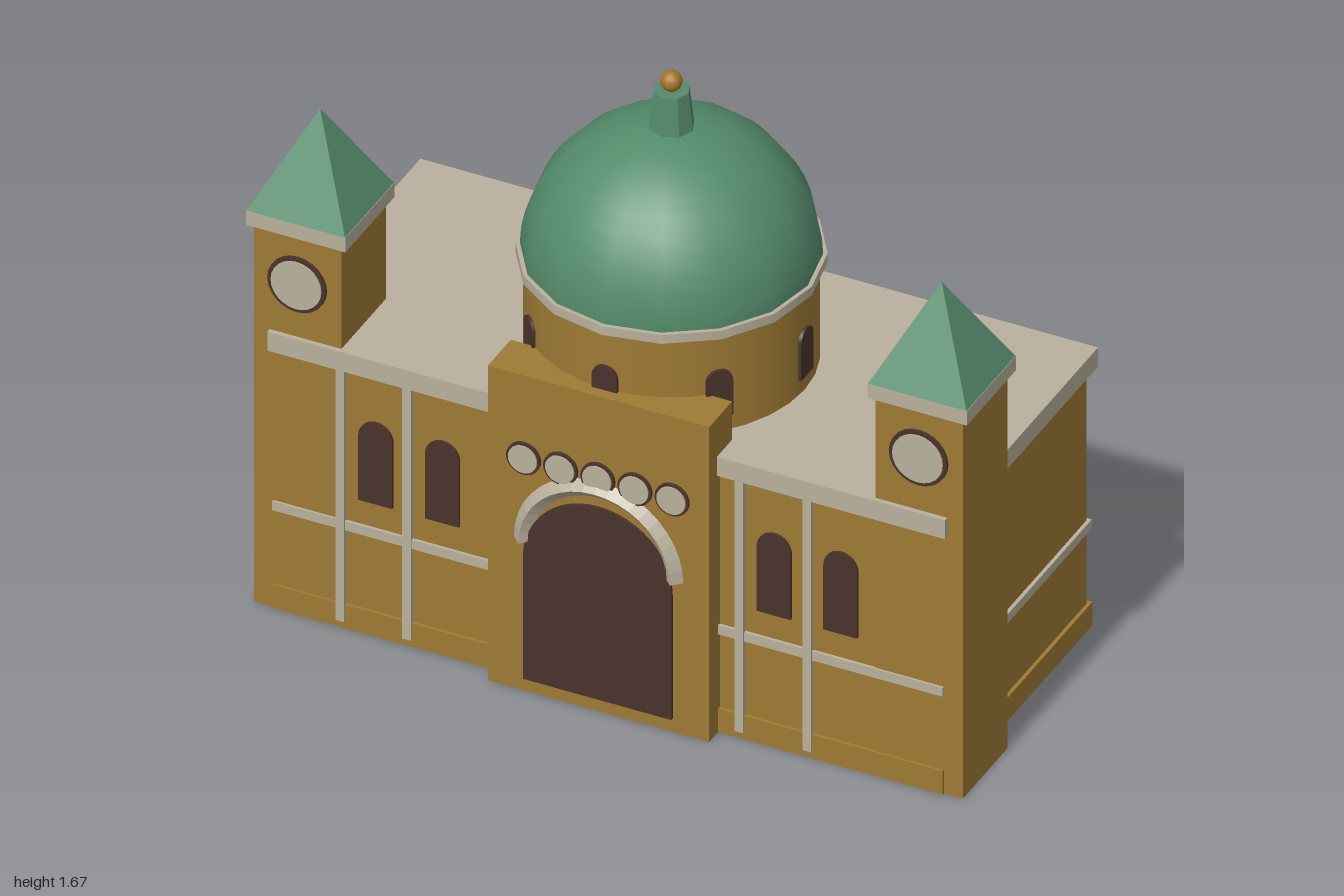
import * as THREE from 'three';

export function createModel() {
  const model = new THREE.Group();
  const mat = (name, color) => {
    const m = new THREE.MeshStandardMaterial({ color });
    m.name = name;
    return m;
  };
  const ochre = mat('ochre wall', 0x9e7a34);
  const stone = mat('pale stone', 0xb9b09d);
  const green = mat('green copper', 0x548b6b);
  const dark = mat('dark brown', 0x4a332c);
  const gold = mat('gold', 0xa87428);

  const add = (name, geometry, material, x = 0, y = 0, z = 0, parent = model) => {
    const mesh = new THREE.Mesh(geometry, material);
    mesh.name = name;
    mesh.position.set(x, y, z);
    parent.add(mesh);
    return mesh;
  };
  // Box given by its limits on each axis
  const box = (name, material, x0, x1, y0, y1, z0, z1) =>
    add(name, new THREE.BoxGeometry(x1 - x0, y1 - y0, z1 - z0), material,
      (x0 + x1) / 2, (y0 + y1) / 2, (z0 + z1) / 2);
  const faceted = (geometry) => {
    const g = geometry.toNonIndexed();
    g.computeVertexNormals();
    return g;
  };
  // Thin round-headed plate standing on y = 0, facing +z
  const archPlate = (halfWidth, height, depth = 0.008) => {
    const s = new THREE.Shape();
    s.moveTo(-halfWidth, 0);
    s.lineTo(halfWidth, 0);
    s.lineTo(halfWidth, height - halfWidth);
    s.absarc(0, height - halfWidth, halfWidth, 0, Math.PI, false);
    s.closePath();
    return new THREE.ExtrudeGeometry(s, { depth, bevelEnabled: false, curveSegments: 12 });
  };
  // Pale disc with a dark rim, facing +z
  const roundel = (name, x, y, z, rimRadius, faceRadius) => {
    const g = new THREE.Group();
    g.name = name;
    g.position.set(x, y, z);
    const disc = (r, d) => new THREE.CylinderGeometry(r, r, d, 24).rotateX(Math.PI / 2);
    add('rim', disc(rimRadius, 0.008), dark, 0, 0, 0.004, g);
    add('face', disc(faceRadius, 0.004), stone, 0, 0, 0.01, g);
    model.add(g);
  };

  // Main block with plinth, string course and roof slab
  box('mainBlock', ochre, -0.92, 0.92, 0, 0.78, -0.437, 0.379);
  box('plinth', ochre, -0.93, 0.93, 0, 0.07, -0.449, 0.389);
  box('stringCourse', stone, -0.93, 0.93, 0.293, 0.32, -0.445, 0.388);
  box('roofSlab', stone, -0.94, 0.94, 0.773, 0.83, -0.46, 0.395);

  // Front pilaster strips
  for (const x of [-0.74, -0.555, 0.367, 0.555])
    box('pilasterStrip', stone, x - 0.012, x + 0.012, 0.02, 0.775, 0.375, 0.393);

  // Front windows
  const frontWindow = archPlate(0.047, 0.243);
  for (const x of [-0.645, -0.46, 0.46, 0.645])
    add('frontWindow', frontWindow, dark, x, 0.395, 0.379);

  // Corner towers
  const spire = faceted(new THREE.ConeGeometry(0.137 * Math.SQRT2, 0.265, 4).rotateY(Math.PI / 4));
  for (const side of [-1, 1]) {
    const x = side * 0.862;
    box('tower', ochre, x - 0.121, x + 0.121, 0, 1.135, 0.132, 0.382);
    box('towerCap', stone, x - 0.138, x + 0.138, 1.132, 1.175, 0.119, 0.394);
    add('towerSpire', spire, green, x, 1.307, 0.257);
    roundel('towerRoundel', x, 0.99, 0.382, 0.081, 0.07);
  }

  // Entrance portal
  box('portal', ochre, -0.307, 0.307, 0, 0.945, 0.31, 0.438);
  add('door', archPlate(0.206, 0.575), dark, 0, 0.04, 0.438);
  add('doorArch', faceted(new THREE.TorusGeometry(0.21, 0.025, 4, 20, Math.PI)), stone, 0, 0.455, 0.438);
  for (let i = -2; i <= 2; i++)
    roundel('portalRoundel', i * 0.103, 0.7, 0.438, 0.047, 0.04);

  // Drum and its eight windows
  const dome = new THREE.Group();
  dome.name = 'domeTower';
  dome.position.z = 0.03;
  model.add(dome);
  add('drum', new THREE.CylinderGeometry(0.37, 0.37, 0.31, 32), ochre, 0, 0.975, 0, dome);
  const drumWindow = archPlate(0.035, 0.14, 0.009);
  for (let i = 0; i < 8; i++) {
    const a = (i * Math.PI) / 4;
    const w = add('drumWindow', drumWindow, dark, Math.sin(a) * 0.368, 0.877, Math.cos(a) * 0.368, dome);
    w.rotation.y = a;
  }

  // Cornice, dome, lantern and finial
  add('drumCornice', new THREE.CylinderGeometry(0.389, 0.389, 0.026, 16), stone, 0, 1.131, 0, dome);
  add('dome', new THREE.SphereGeometry(0.378, 16, 12, 0, Math.PI * 2, 0, Math.PI / 2), green, 0, 1.139, 0, dome);
  add('lantern', faceted(new THREE.CylinderGeometry(0.047, 0.06, 0.115, 8)), green, 0, 1.563, 0, dome);
  add('finial', new THREE.SphereGeometry(0.028, 12, 10), gold, 0, 1.645, 0, dome);

  return model;
}
